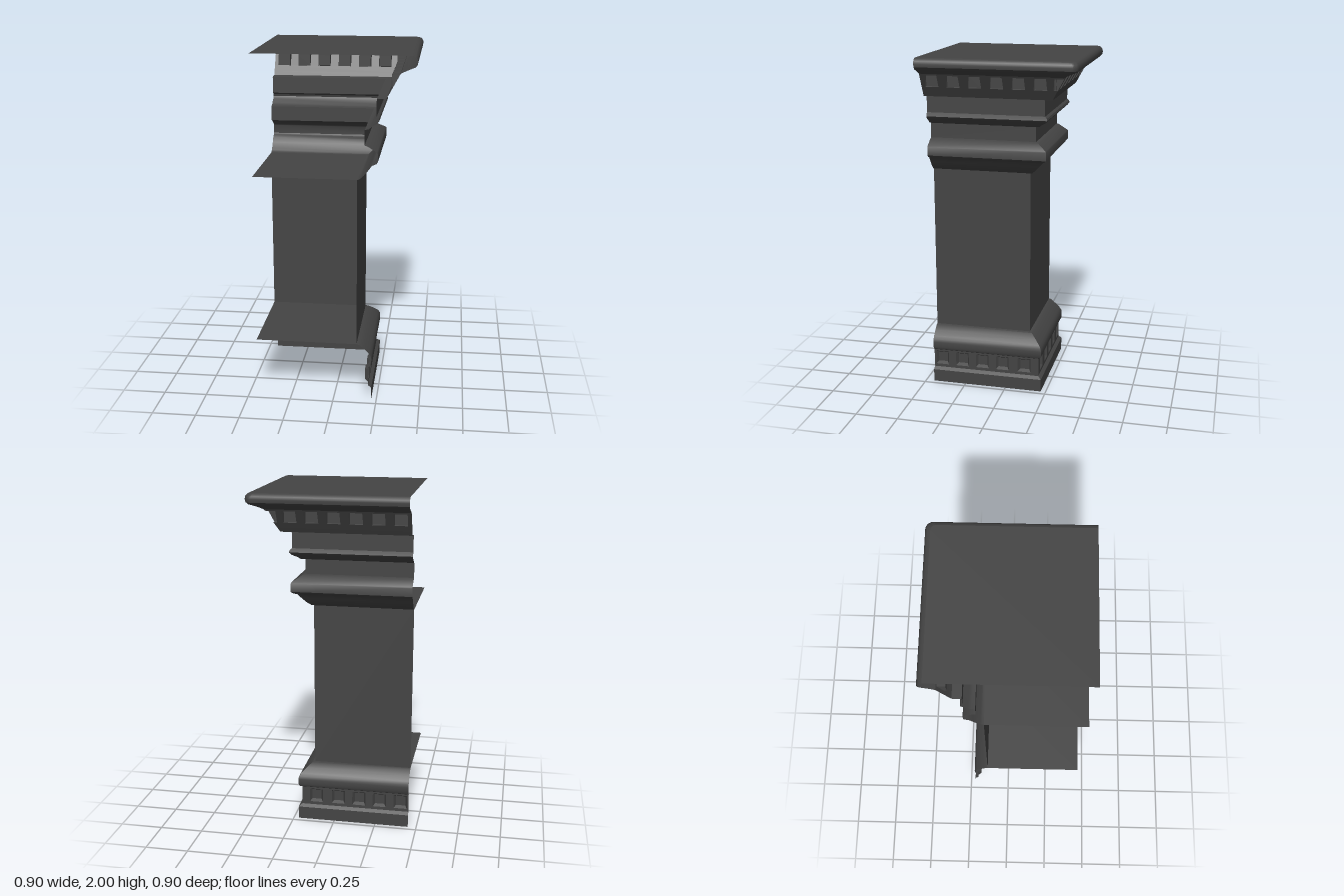
import * as THREE from 'three';
import { toCreasedNormals } from 'three/addons/utils/BufferGeometryUtils.js';

const EDGE = 0.45; // the two open cut planes lie at x = -EDGE and z = EDGE
const material = new THREE.MeshStandardMaterial({ color: 0x444444, side: THREE.DoubleSide });

function toMesh(name, positions, crease = 0) {
  let geo = new THREE.BufferGeometry();
  geo.setAttribute('position', new THREE.Float32BufferAttribute(positions, 3));
  if (crease) geo = toCreasedNormals(geo, crease);
  else geo.computeVertexNormals();
  const mesh = new THREE.Mesh(geo, material);
  mesh.name = name;
  return mesh;
}

function quad(out, a, b, c, d) {
  out.push(...a, ...b, ...c, ...a, ...c, ...d);
}

// L-shaped path around the outer corner at offset o, corner rounded by r
function cornerPath([o, y, r = 0]) {
  const pts = [[-EDGE, y, -o]];
  for (let i = 0; i <= 5; i++) {
    const a = (i / 5) * Math.PI / 2;
    pts.push([o - r + r * Math.sin(a), y, -o + r - r * Math.cos(a)]);
  }
  pts.push([o, y, EDGE]);
  return pts;
}

// Moulding: a profile of [offset, y, cornerRadius], top to bottom, swept along the L
function moulding(name, profile) {
  const out = [];
  const rows = profile.map(cornerPath);
  for (let j = 0; j < rows.length - 1; j++) {
    const p = rows[j], q = rows[j + 1];
    for (let i = 0; i < p.length - 1; i++) {
      const sharp = i > 0 && i < p.length - 2 && !profile[j][2] && !profile[j + 1][2];
      if (!sharp) quad(out, p[i], p[i + 1], q[i + 1], q[i]);
    }
  }
  return toMesh(name, out, 0.6);
}

// Flat plate filling the L path back to the inner corner
function plate(name, row) {
  const out = [], pts = cornerPath(row), inner = [-EDGE, row[1], EDGE];
  for (let i = 0; i < pts.length - 1; i++) out.push(...inner, ...pts[i + 1], ...pts[i]);
  return toMesh(name, out);
}

// Band with a row of tapered square pockets on both walls.
// spans: [start, end] of each pocket; an end of Infinity wraps the corner.
// depths: how far the pocket's back lies behind the wall at its top and bottom
function pocketBand(name, top, bottom, yHigh, yLow, spans, depths, inset) {
  const out = [];
  const slope = (top[0] - bottom[0]) / (top[1] - bottom[1]);
  const point = (x, y, d = 0) => {
    const o = bottom[0] + (y - bottom[1]) * slope - d;
    return [Math.min(x, o), y, -o];
  };
  const strip = (x0, x1, y0, y1) =>
    quad(out, point(x0, y0), point(x1, y0), point(x1, y1), point(x0, y1));
  strip(-EDGE, Infinity, top[1], yHigh);
  strip(-EDGE, Infinity, yLow, bottom[1]);
  let x = -EDGE;
  for (const [x0, x1] of spans) {
    strip(x, x0, yHigh, yLow);
    const rim = [point(x0, yHigh), point(x1, yHigh), point(x1, yLow), point(x0, yLow)];
    const hi = yHigh - inset, lo = yLow + inset;
    const back = [point(x0 + inset, hi, depths[0]), point(x1 - inset, hi, depths[0]),
      point(x1 - inset, lo, depths[1]), point(x0 + inset, lo, depths[1])];
    quad(out, ...back);
    for (let k = 0; k < 4; k++) {
      const n = (k + 1) % 4;
      if (k === 1 && x1 === Infinity) continue;
      quad(out, rim[k], rim[n], back[n], back[k]);
    }
    x = x1;
  }
  if (x !== Infinity) strip(x, Infinity, yHigh, yLow);

  // mirror the wall across the corner diagonal, reversing the winding
  const all = [...out];
  for (let i = 0; i < out.length; i += 9) {
    for (const k of [0, 6, 3]) all.push(-out[i + k + 2], out[i + k + 1], -out[i + k]);
  }
  return toMesh(name, all);
}

const spansAt = (centres, half) => centres.map((c) => [c - half, c + half]);

export function createModel() {
  const group = new THREE.Group();
  group.name = 'cornerPilaster';

  // Crown: rounded lip over a sloped band of pockets with upright backs
  const lip = [
    [0.42, 2, 0.03], [0.437, 1.995, 0.035], [0.447, 1.983, 0.04], [0.45, 1.968, 0.04],
    [0.447, 1.95, 0.04], [0.435, 1.938, 0.035], [0.395, 1.922, 0.02], [0.36, 1.905],
  ];
  group.add(plate('topPlate', lip[0]), moulding('crownLip', lip));
  group.add(pocketBand('crownPockets', [0.36, 1.905], [0.3, 1.795], 1.896, 1.828,
    [...spansAt([-0.39, -0.268, -0.145, -0.02, 0.103, 0.225], 0.038), [0.297, Infinity]],
    [0.042, 0.01], 0.003));

  // Frieze below the crown with a small torus and a recessed neck
  group.add(moulding('frieze', [
    [0.3, 1.795], [0.287, 1.772], [0.235, 1.768], [0.235, 1.672], [0.247, 1.662],
    [0.25, 1.65], [0.238, 1.635], [0.21, 1.618], [0.195, 1.605], [0.172, 1.6], [0.172, 1.515],
  ]));

  // Capital moulding sitting on the shaft
  group.add(moulding('capital', [
    [0.172, 1.515], [0.187, 1.51], [0.24, 1.477], [0.244, 1.47], [0.244, 1.422],
    [0.236, 1.413], [0.212, 1.402], [0.192, 1.375], [0.167, 1.345], [0.155, 1.335],
    [0.145, 1.325], [0.133, 1.322],
  ]));

  // Plain shaft with its end plates
  group.add(plate('shaftTop', [0.133, 1.322]));
  group.add(moulding('shaft', [[0.133, 1.322], [0.133, 0.346]]));
  group.add(plate('shaftBottom', [0.133, 0.346]));

  // Base: sloped shoulder, pocketed band and plinth
  group.add(moulding('baseShoulder', [
    [0.133, 0.346], [0.148, 0.342], [0.178, 0.317], [0.206, 0.29], [0.217, 0.273],
    [0.22, 0.255], [0.22, 0.225], [0.213, 0.21], [0.201, 0.203],
  ]));
  group.add(pocketBand('basePockets', [0.201, 0.203], [0.201, 0.09], 0.192, 0.108,
    spansAt([-0.4, -0.273, -0.148, -0.022, 0.113], 0.04), [0.02, 0.02], 0.012));
  group.add(moulding('plinth', [[0.201, 0.09], [0.22, 0.075], [0.22, 0]]));

  return group;
}
